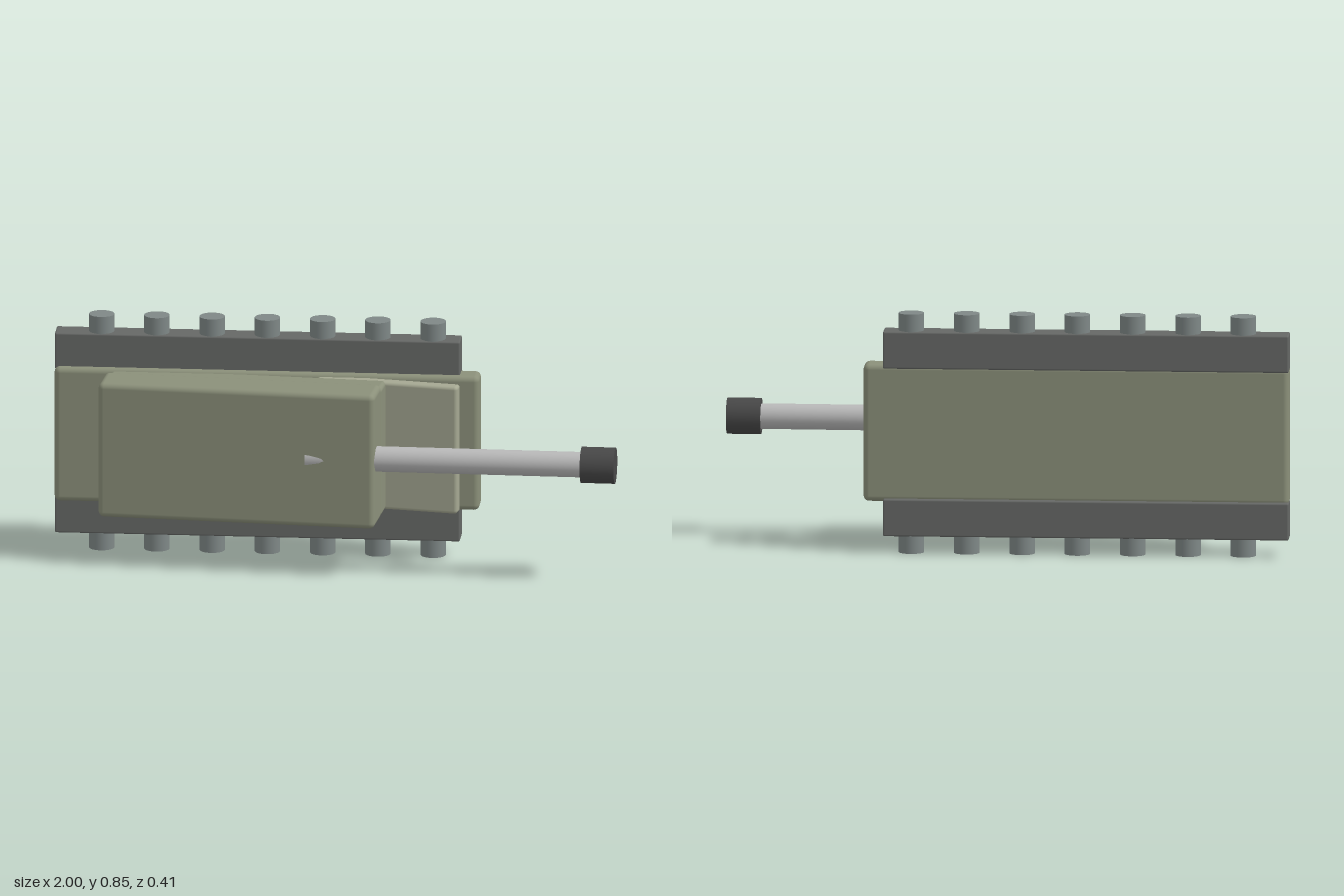
import * as THREE from 'three';
import { RoundedBoxGeometry } from 'three/addons/geometries/RoundedBoxGeometry.js';

const paint = (color) => new THREE.MeshStandardMaterial({ color });

export function createModel() {
  const model = new THREE.Group();
  const olive = paint(0x8b907a), paleOlive = paint(0xa5a892);
  const trackGrey = paint(0x666866), wheelGrey = paint(0x7f8887);
  const steel = paint(0xb8b8b8), darkSteel = paint(0x484848);
  const midY = 0.427;

  // Rounded block; turn is the slope towards the front along +x
  function block(name, size, pos, radius, material, turn = 0) {
    const mesh = new THREE.Mesh(new RoundedBoxGeometry(...size, 3, radius), material);
    mesh.name = name;
    mesh.position.set(...pos);
    mesh.rotation.y = -turn;
    model.add(mesh);
  }

  // Cylinder between two points
  function rod(name, a, b, radius, material) {
    const from = new THREE.Vector3(...a), to = new THREE.Vector3(...b);
    const dir = to.clone().sub(from);
    const mesh = new THREE.Mesh(new THREE.CylinderGeometry(radius, radius, dir.length(), 32), material);
    mesh.name = name;
    mesh.position.copy(from).add(to).multiplyScalar(0.5);
    mesh.quaternion.setFromUnitVectors(new THREE.Vector3(0, 1, 0), dir.normalize());
    model.add(mesh);
  }

  // Hull and sloping nose plate
  block('hull', [1.5, 0.49, 0.096], [-0.25, midY, -0.139], 0.02, olive);
  block('nosePlate', [0.51, 0.465, 0.05], [0.182, midY, -0.065], 0.012, paleOlive, 0.17);

  // Turret in two layers
  block('turretBase', [0.975, 0.47, 0.115], [-0.316, midY, -0.046], 0.015, olive, 0.082);
  block('turret', [0.985, 0.49, 0.16], [-0.333, midY, 0.06], 0.02, olive, 0.082);

  // Tracks with their row of wheels on each side
  for (const side of [-1, 1]) {
    block('track', [1.43, 0.132, 0.094], [-0.285, midY + side * 0.299, -0.16], 0.006, trackGrey);
    for (let i = 0; i < 7; i++) {
      const x = -0.838 + i * 0.195;
      rod('wheel', [x, midY + side * 0.3, -0.16], [x, midY + side * 0.427, -0.16], 0.045, wheelGrey);
    }
  }

  // Barrel and muzzle
  rod('barrel', [-0.095, midY, 0.119], [0.95, midY, 0.14], 0.045, steel);
  rod('muzzle', [0.88, midY, 0.139], [1, midY, 0.142], 0.064, darkSteel);

  return model;
}
